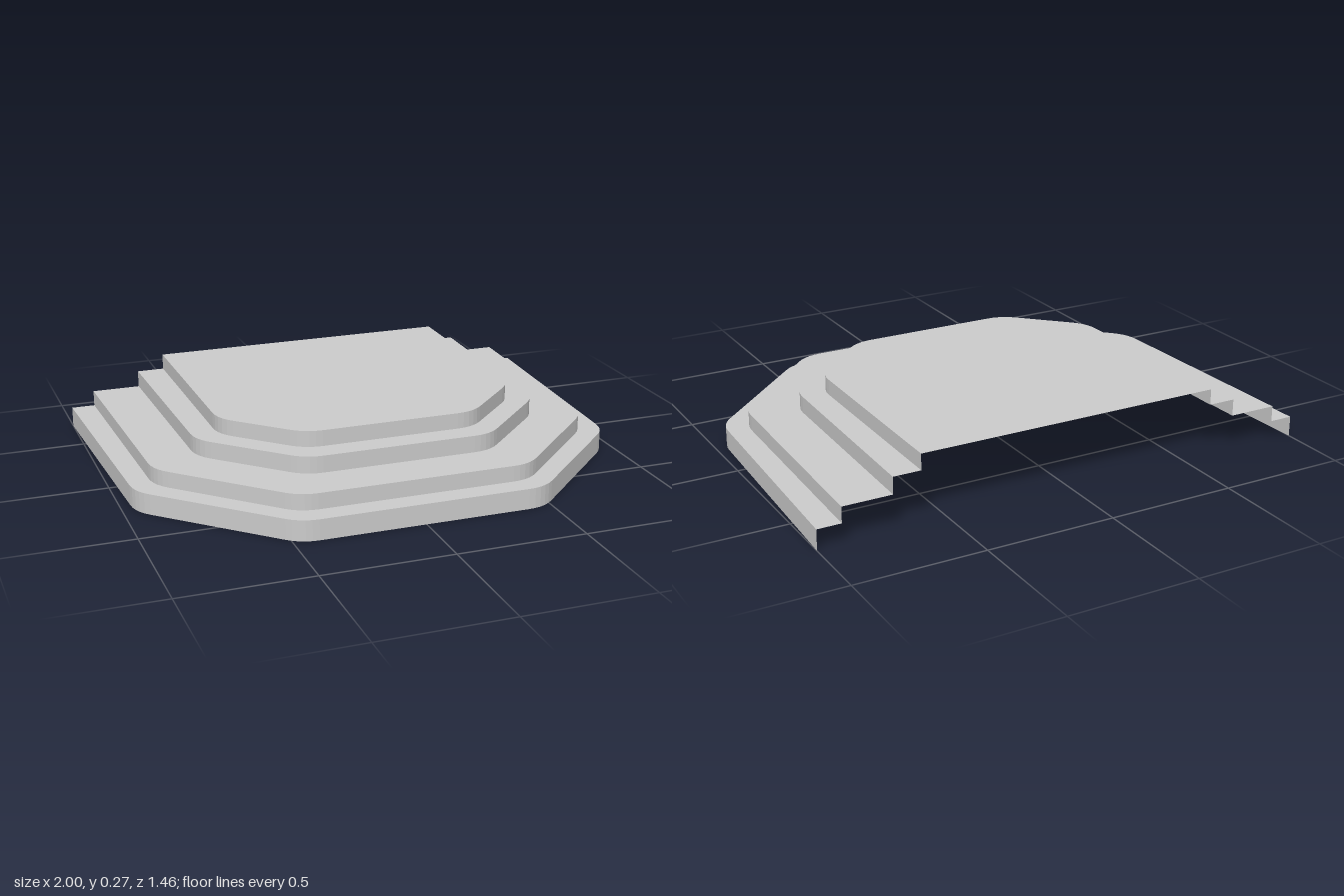
import * as THREE from 'three';

const BACK = -0.73;

// Each step: base and top height, half width at the back, side corner [x, z], front corner [x, z]
const STEPS = [
  { y0: 0, y1: 0.08, back: 1.0, side: [0.957, 0.26], front: [0.47, 0.73] },
  { y0: 0.08, y1: 0.142, back: 0.907, side: [0.877, 0.22], front: [0.445, 0.645] },
  { y0: 0.142, y1: 0.208, back: 0.715, side: [0.695, 0.145], front: [0.365, 0.467] },
  { y0: 0.208, y1: 0.27, back: 0.607, side: [0.6, 0.115], front: [0.335, 0.373] },
];

// Points of a rounded corner at c, between neighbours a and b
function roundCorner(a, c, b, trim = 0.065, segments = 5) {
  const start = c.clone().add(a.clone().sub(c).setLength(trim));
  const end = c.clone().add(b.clone().sub(c).setLength(trim));
  return new THREE.QuadraticBezierCurve(start, c, end).getPoints(segments);
}

// Open outline from the left back end, round the front, to the right back end
function outline({ back, side, front }) {
  const a = new THREE.Vector2(back, BACK);
  const b = new THREE.Vector2(...side);
  const c = new THREE.Vector2(...front);
  const mid = new THREE.Vector2(0, front[1]);
  const half = [a, ...roundCorner(a, b, c), ...roundCorner(b, c, mid)];
  const mirrored = half.map((p) => new THREE.Vector2(-p.x, p.y)).reverse();
  return [...half, ...mirrored];
}

// Vertical wall following the outline
function riserGeometry(points, y0, y1) {
  const positions = [];
  for (let i = 0; i < points.length - 1; i++) {
    const a = points[i], b = points[i + 1];
    positions.push(
      b.x, y0, b.y, a.x, y0, a.y, a.x, y1, a.y,
      b.x, y0, b.y, a.x, y1, a.y, b.x, y1, b.y
    );
  }
  const geometry = new THREE.BufferGeometry();
  geometry.setAttribute('position', new THREE.Float32BufferAttribute(positions, 3));
  geometry.computeVertexNormals();
  return geometry;
}

// Level surface between an outline and the next one inside it (or the whole outline)
function treadGeometry(outer, inner, y) {
  const loop = [...outer, ...[...inner].reverse()];
  const shape = new THREE.Shape(loop.map((p) => new THREE.Vector2(p.x, -p.y)));
  return new THREE.ShapeGeometry(shape).rotateX(-Math.PI / 2).translate(0, y, 0);
}

export function createModel() {
  const model = new THREE.Group();
  model.name = 'steppedPlatform';
  const material = new THREE.MeshStandardMaterial({
    color: 0xcccccc, flatShading: true, side: THREE.DoubleSide,
  });
  const outlines = STEPS.map(outline);

  // Hollow shell, open at the back and underneath
  STEPS.forEach(({ y0, y1 }, i) => {
    const step = new THREE.Group();
    step.name = `step${i + 1}`;

    const riser = new THREE.Mesh(riserGeometry(outlines[i], y0, y1), material);
    riser.name = 'riser';

    const tread = new THREE.Mesh(treadGeometry(outlines[i], outlines[i + 1] ?? [], y1), material);
    tread.name = i === STEPS.length - 1 ? 'platformTop' : 'tread';

    step.add(riser, tread);
    model.add(step);
  });
  return model;
}
